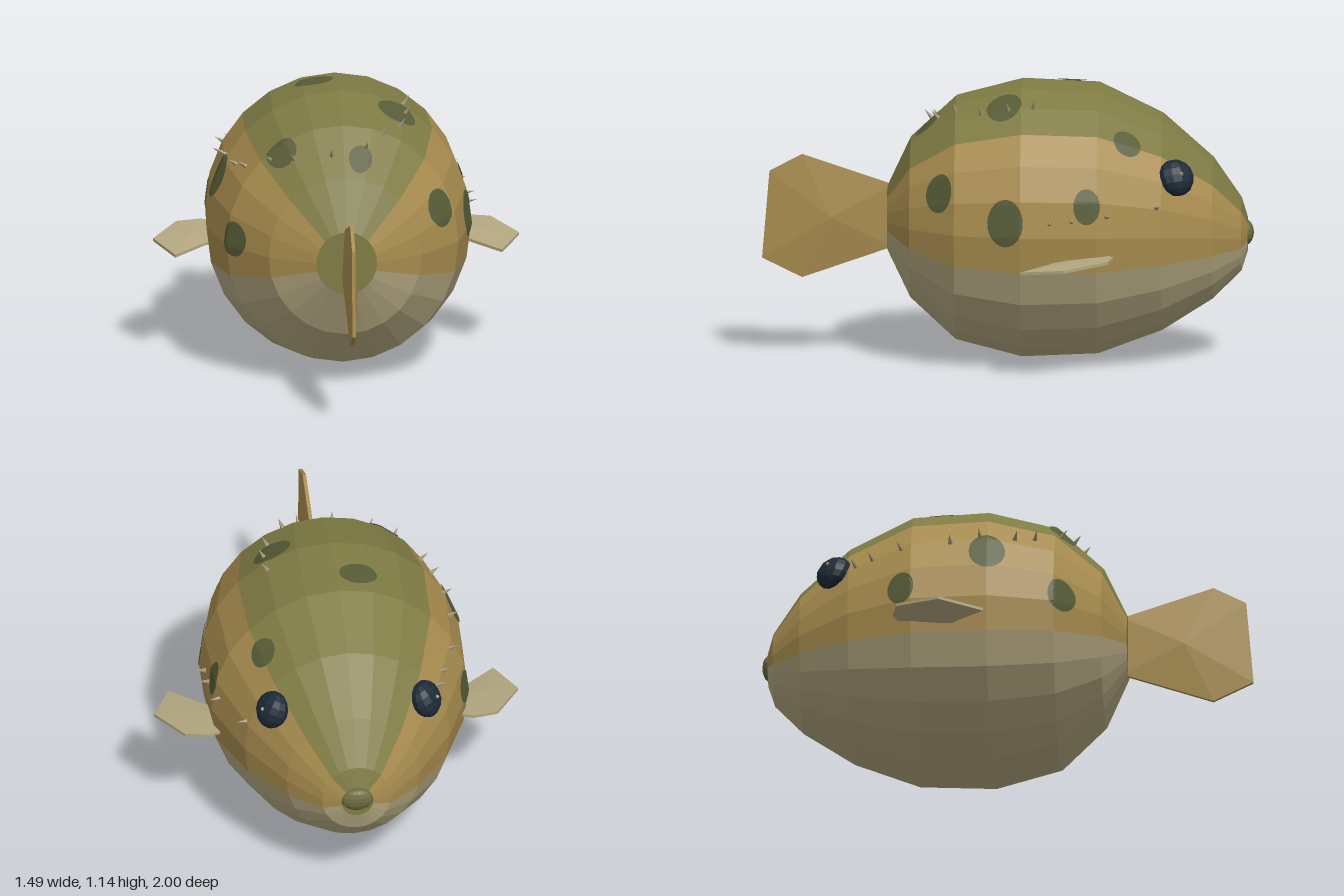
import * as THREE from 'three';

const mat = (name, color) => {
  const m = new THREE.MeshStandardMaterial({ color, flatShading: true, side: THREE.DoubleSide });
  m.name = name;
  return m;
};

// Body rings along z: [z, centre height, vertical radius]
const RINGS = [
  [-0.975, 0.505, 0.07], [-0.95, 0.505, 0.15], [-0.835, 0.53, 0.29], [-0.63, 0.555, 0.445], [-0.37, 0.57, 0.556],
  [-0.06, 0.57, 0.57], [0.21, 0.57, 0.5], [0.395, 0.57, 0.33], [0.49, 0.567, 0.131],
];
const SIDES = 24, STEP = (Math.PI * 2) / SIDES, WIDTH = 0.945;

// Ring centre and radius at any z
function ringAt(z) {
  let i = 0;
  while (i < RINGS.length - 2 && z > RINGS[i + 1][0]) i++;
  const a = RINGS[i], b = RINGS[i + 1];
  const t = THREE.MathUtils.clamp((z - a[0]) / (b[0] - a[0]), 0, 1);
  return { cy: a[1] + (b[1] - a[1]) * t, r: a[2] + (b[2] - a[2]) * t, slope: (b[2] - a[2]) / (b[0] - a[0]) };
}

// Point on the faceted skin, raised by lift
function skin(angle, z, lift = 0) {
  const { cy, r, slope } = ringAt(z);
  const local = (((angle % STEP) + STEP) % STEP) - STEP / 2;
  const k = (r * Math.cos(STEP / 2)) / Math.cos(local);
  const p = new THREE.Vector3(WIDTH * k * Math.cos(angle), cy + k * Math.sin(angle), z);
  return p.addScaledVector(skinNormal(angle, slope), lift);
}

function skinNormal(angle, slope) {
  return new THREE.Vector3(Math.cos(angle) / WIDTH, Math.sin(angle), -slope).normalize();
}

// Angle around the body of a point seen at x, y, z
function angleOf(x, y, z) {
  return Math.atan2(y - ringAt(z).cy, x / WIDTH);
}

function meshFrom(points, material, name) {
  const g = new THREE.BufferGeometry().setFromPoints(points);
  g.computeVertexNormals();
  const m = new THREE.Mesh(g, material);
  m.name = name;
  return m;
}

// Thin fin: an outline with a narrow rim and a thicker middle
function fin(outline, centre, rim, mid, place, material, name) {
  const pts = [];
  outline.forEach(([u, v], i) => {
    const [u2, v2] = outline[(i + 1) % outline.length];
    const a = place(u, v, rim), b = place(u2, v2, rim), c = place(u, v, -rim), d = place(u2, v2, -rim);
    pts.push(a, b, place(...centre, mid), d, c, place(...centre, -mid), a, c, d, a, d, b);
  });
  return meshFrom(pts, material, name);
}

export function createModel() {
  const group = new THREE.Group();
  const olive = mat('olive', 0x7f7b44), tan = mat('tan', 0xa98d4f), cream = mat('cream', 0xb3a780);
  const moss = mat('moss', 0x575c37), navy = mat('navy', 0x1d2a38), horn = mat('horn', 0xa3977a);
  const lipColor = mat('lip olive', 0x6d6b3f);

  // Body, split into back, flanks and belly
  const back = [], flanks = [], belly = [];
  const at = (i, j) => {
    const [z, cy, r] = RINGS[i];
    return new THREE.Vector3(WIDTH * r * Math.cos(j * STEP), cy + r * Math.sin(j * STEP), z);
  };
  const last = RINGS.length - 1;
  for (let j = 0; j < SIDES; j++) {
    const list = j >= 3 && j < 9 ? back : j >= 13 && j < 23 ? belly : flanks;
    for (let i = 0; i < last; i++) {
      const a = at(i, j), c = at(i + 1, j + 1);
      list.push(a, at(i, j + 1), c, a, c, at(i + 1, j));
    }
    back.push(new THREE.Vector3(0, RINGS[last][1], RINGS[last][0]), at(last, j), at(last, j + 1));
    back.push(new THREE.Vector3(0, RINGS[0][1], RINGS[0][0]), at(0, j + 1), at(0, j));
  }
  group.add(meshFrom(back, olive, 'back'), meshFrom(flanks, tan, 'flanks'), meshFrom(belly, cream, 'belly'));

  // Mouth
  const mouth = new THREE.Mesh(new THREE.SphereGeometry(1, 12, 8), lipColor);
  mouth.name = 'mouth';
  mouth.scale.set(0.068, 0.05, 0.03);
  mouth.position.set(0, 0.512, -0.97);
  group.add(mouth);

  // Tail fin
  const tailOutline = [[0.47, 0.7], [0.49, 0.71], [0.837, 0.826], [0.97, 0.756], [1, 0.4], [0.837, 0.32], [0.49, 0.44], [0.47, 0.45]];
  group.add(fin(tailOutline, [0.72, 0.57], 0.007, 0.032, (u, v, w) => new THREE.Vector3(w, v, u), tan, 'tailFin'));

  // Side fins and eyes
  const sideOutline = [[0.45, -0.4], [0.54, -0.44], [0.64, -0.42], [0.745, -0.243], [0.665, -0.065], [0.54, -0.185], [0.45, -0.24]];
  for (const s of [1, -1]) {
    const place = (u, v, w) => new THREE.Vector3(s * u, 0.447 - 0.115 * (v + 0.06) + w, v);
    group.add(fin(sideOutline, [0.6, -0.26], 0.006, 0.014, place, cream, s > 0 ? 'leftFin' : 'rightFin'));

    const eye = new THREE.Group();
    eye.name = s > 0 ? 'leftEye' : 'rightEye';
    const ball = new THREE.Mesh(new THREE.SphereGeometry(0.077, 12, 8), navy);
    ball.name = 'eyeball';
    ball.scale.z = 0.72;
    const glint = new THREE.Mesh(new THREE.OctahedronGeometry(0.01), horn);
    glint.name = 'glint';
    glint.position.z = 0.055;
    eye.add(ball, glint);
    eye.position.set(s * 0.315, 0.787, -0.69);
    eye.lookAt(s * 1.115, 1.237, -1.14);
    group.add(eye);
  }

  // Spots laid on the skin: x, y, z, radius along z, radius around
  const spots = [
    [0.39, 0.73, 0.27, 0.062, 0.08], [0.52, 0.63, 0, 0.073, 0.097], [0.52, 0.7, -0.33, 0.053, 0.074],
    [0.33, 0.93, -0.49, 0.057, 0.062], [0.235, 1.065, 0.01, 0.072, 0.09], [-0.09, 1.13, -0.26, 0.063, 0.083],
    [0.065, 0.955, 0.325, 0.058, 0.05], [-0.25, 0.965, 0.235, 0.06, 0.07], [-0.445, 0.605, 0.24, 0.065, 0.072],
    [-0.49, 0.79, -0.06, 0.073, 0.095], [-0.5, 0.625, -0.41, 0.055, 0.072],
  ];
  for (const [x, y, z, rz, rt] of spots) {
    const angle = angleOf(x, y, z), { r, slope } = ringAt(z), pts = [];
    const lengthwise = rz / Math.hypot(1, slope * 0.7);
    const p = (ring, k) => {
      const f = ring / 5, phi = (k / 28) * Math.PI * 2;
      return skin(angle + (f * rt * Math.sin(phi)) / r, z + f * lengthwise * Math.cos(phi), 0.005);
    };
    for (let ring = 0; ring < 5; ring++) {
      for (let k = 0; k < 28; k++) {
        const a = p(ring, k), c = p(ring + 1, k + 1);
        pts.push(a, c, p(ring + 1, k));
        if (ring) pts.push(a, p(ring, k + 1), c);
      }
    }
    group.add(meshFrom(pts, moss, 'spot'));
  }

  // Small spines in a line over the back and along the left flank
  const spines = [
    [-0.38, 0.79, -0.6], [-0.41, 0.81, -0.53], [-0.45, 0.83, -0.41], [-0.48, 0.85, -0.21], [-0.46, 0.87, -0.09],
    [-0.44, 0.88, 0.05], [-0.4, 0.89, 0.13], [-0.29, 0.93, 0.23], [-0.2, 0.95, 0.28], [-0.05, 0.975, 0.31],
    [0.09, 0.99, 0.28], [0.16, 1.02, 0.21], [0.25, 1.05, 0.1], [0.27, 1.06, -0.01], [0.27, 1.07, -0.11],
    [0.42, 0.68, -0.61], [0.5, 0.655, -0.41], [0.53, 0.64, -0.27], [0.53, 0.63, -0.18],
  ];
  const cone = new THREE.ConeGeometry(0.011, 0.05, 5);
  cone.translate(0, 0.02, 0);
  for (const [x, y, z] of spines) {
    const angle = angleOf(x, y, z), spine = new THREE.Mesh(cone, horn);
    spine.name = 'spine';
    spine.position.copy(skin(angle, z));
    spine.quaternion.setFromUnitVectors(new THREE.Vector3(0, 1, 0), skinNormal(angle, ringAt(z).slope));
    group.add(spine);
  }
  return group;
}
